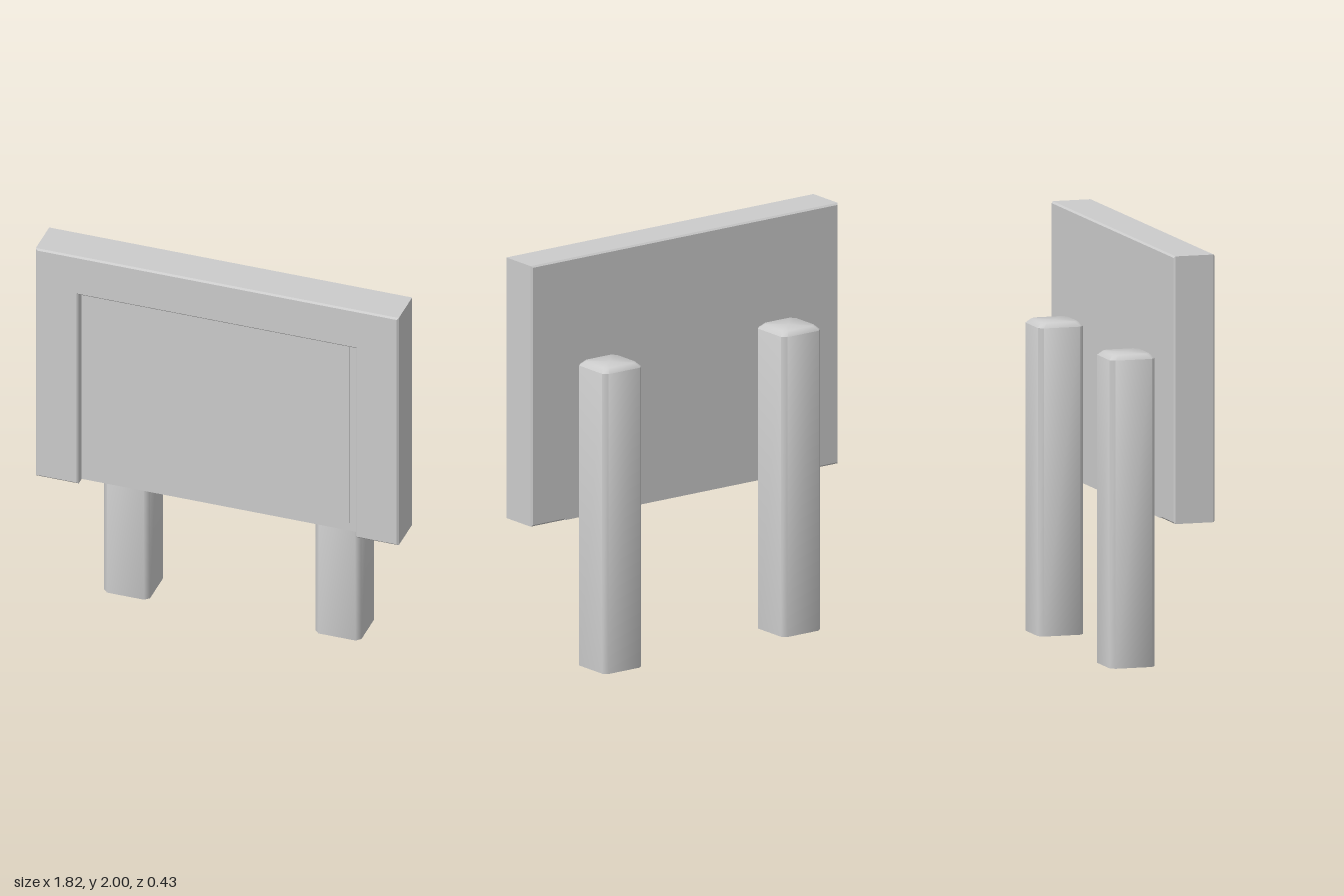
import * as THREE from 'three';
import { toCreasedNormals } from 'three/addons/utils/BufferGeometryUtils.js';

const grey = new THREE.MeshStandardMaterial({ color: 0xcccccc, side: THREE.DoubleSide });
grey.name = 'plain grey';

function part(name, geometry, x = 0, y = 0, z = 0) {
  const mesh = new THREE.Mesh(geometry, grey);
  mesh.name = name;
  mesh.position.set(x, y, z);
  return mesh;
}

// Square post with chamfered corners and top, open underneath
function postGeometry(width, depth, height, chamfer) {
  const ring = (inset, y) => {
    const a = width / 2 - inset, b = depth / 2 - inset, c = chamfer;
    return [[a, b - c], [a - c, b], [c - a, b], [-a, b - c],
      [-a, c - b], [c - a, -b], [a - c, -b], [a, c - b]].map(([x, z]) => [x, y, z]);
  };
  const rings = [ring(0, 0), ring(0, height - chamfer), ring(chamfer, height)];
  const points = [...rings.flat(), [0, height, 0]];
  const index = [];
  for (let i = 0; i < 8; i++) {
    const j = (i + 1) % 8;
    for (let r = 0; r < 2; r++) {
      const a = r * 8 + i, b = r * 8 + j;
      index.push(a, a + 8, b, b, a + 8, b + 8);
    }
    index.push(16 + i, 24, 16 + j);
  }
  const geometry = new THREE.BufferGeometry();
  geometry.setAttribute('position', new THREE.Float32BufferAttribute(points.flat(), 3));
  geometry.setIndex(index);
  return toCreasedNormals(geometry, 0.9);
}

export function createModel() {
  const group = new THREE.Group();
  group.name = 'signboard';

  // Frame: an upside-down U, slightly bevelled
  const outline = [[-0.91, 0.72], [-0.695, 0.72], [-0.695, 1.785], [0.695, 1.785],
    [0.695, 0.72], [0.91, 0.72], [0.91, 2], [-0.91, 2]];
  const bevel = 0.008;
  const frame = new THREE.ExtrudeGeometry(
    new THREE.Shape(outline.map(([x, y]) => new THREE.Vector2(x, y))),
    { depth: 0.205 - 2 * bevel, bevelThickness: bevel, bevelSize: bevel, bevelOffset: -bevel, bevelSegments: 1 });
  group.add(part('frame', frame, 0, 0, 0.01 + bevel));

  // Recessed panel closing the frame, overlapping its inner edges
  const panel = new THREE.BoxGeometry(1.42, 1.08, 0.155);
  group.add(part('backPanel', panel, 0, 1.26, 0.0875));

  // Thin sheet on the panel
  group.add(part('displaySheet', new THREE.BoxGeometry(1.3, 0.995, 0.004), 0, 1.2625, 0.166));

  // Two posts behind the board
  for (const [name, side] of [['leftPost', 1], ['rightPost', -1]]) {
    group.add(part(name, postGeometry(0.23, 0.225, 1.495, 0.022), side * 0.53, 0, -0.1025));
  }
  return group;
}
